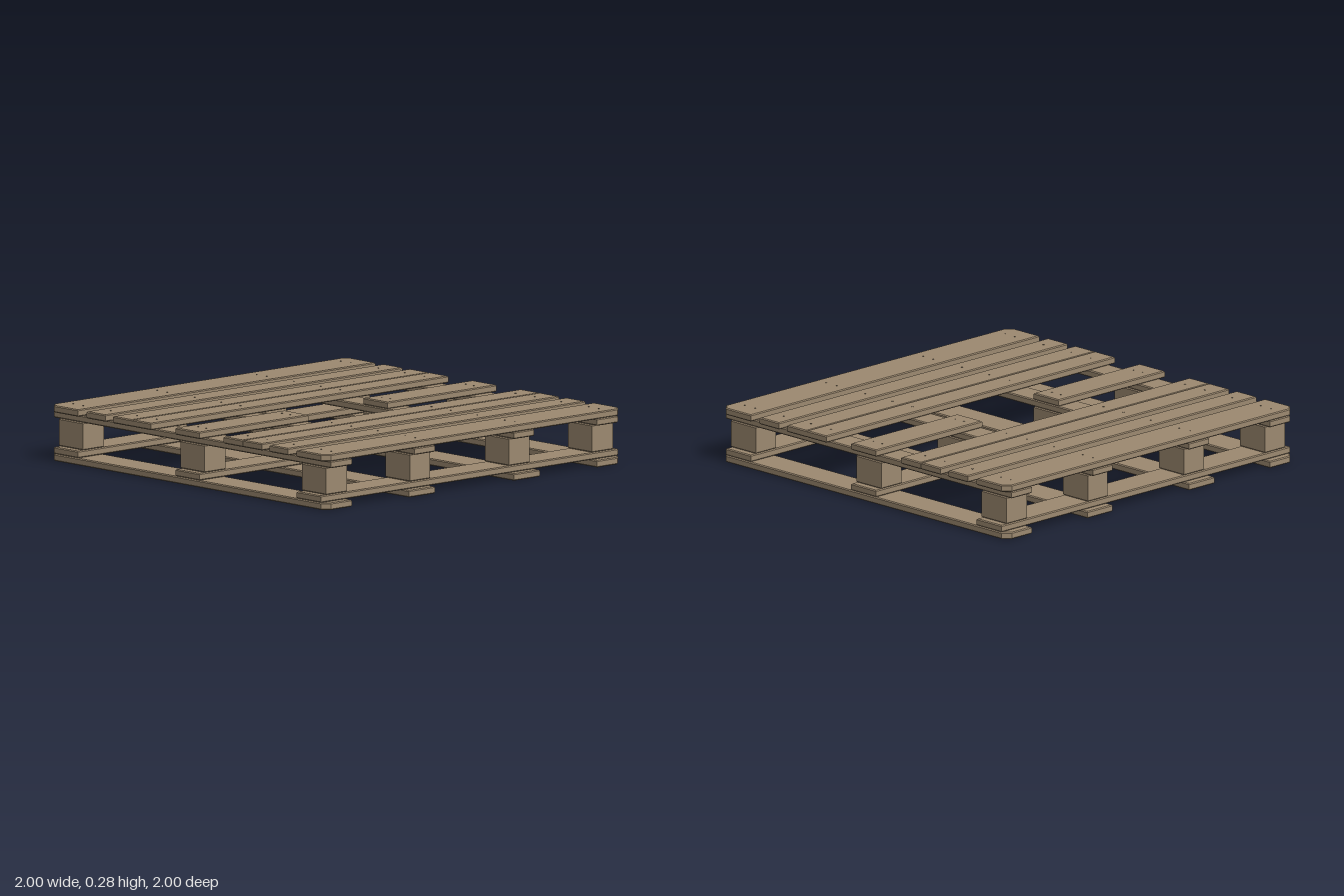
import * as THREE from 'three';

const BEVEL = 0.005;
const CUT = 0.036; // corner cut of the outer boards
const T = 0.035;   // board thickness

// Plank seen in plan, with eased edges; cut(sx, sz) tells which corners are clipped
function plankGeometry(w, h, d, cut = () => false) {
  const pts = [];
  for (const [sx, sz] of [[1, -1], [1, 1], [-1, 1], [-1, -1]]) {
    const x = sx * w / 2, y = sz * d / 2;
    if (!cut(sx, -sz)) { pts.push(new THREE.Vector2(x, y)); continue; }
    const a = new THREE.Vector2(x - sx * CUT, y);
    const b = new THREE.Vector2(x, y - sz * CUT);
    pts.push(...(sx * sz < 0 ? [a, b] : [b, a]));
  }
  const geo = new THREE.ExtrudeGeometry(new THREE.Shape(pts), {
    depth: h - 2 * BEVEL, bevelEnabled: true, bevelSegments: 1,
    bevelSize: BEVEL, bevelThickness: BEVEL, bevelOffset: -BEVEL,
  });
  geo.translate(0, 0, BEVEL);
  geo.rotateX(-Math.PI / 2);
  return geo;
}

export function createModel() {
  const wood = new THREE.MeshStandardMaterial({ color: 0x9c8970 });
  wood.name = 'wood';
  const steel = new THREE.MeshStandardMaterial({ color: 0x766a5a });
  steel.name = 'nail steel';

  const model = new THREE.Group();
  model.name = 'pallet';

  const plank = (name, x0, x1, y, h, z0, z1, cut) => {
    const mesh = new THREE.Mesh(plankGeometry(x1 - x0, h, z1 - z0, cut), wood);
    mesh.position.set((x0 + x1) / 2, y, (z0 + z1) / 2);
    mesh.name = name;
    model.add(mesh);
  };

  const BLOCK_H = 0.138;
  const yCross = T, yBlock = 2 * T, yStringer = yBlock + BLOCK_H;
  const yDeck = yStringer + T - 0.001, yTop = yDeck + T;

  // Bottom runners, front to back
  for (const s of [-1, 1]) {
    const span = (a, b) => (s > 0 ? [a, b] : [-b, -a]);
    const [o0, o1] = span(0.825, 1);
    plank('outerRunner', o0, o1, 0, T, -1, 1, (sx) => sx === s);
    const [i0, i1] = span(0.265, 0.44);
    plank('innerRunner', i0, i1, 0, T, -1, 1);
  }

  // Lower cross boards
  const rows = [[-0.965, -0.79], [-0.0875, 0.0875], [0.79, 0.965]];
  for (const [z0, z1] of rows) plank('lowerCrossBoard', -1, 1, yCross, T, z0, z1);

  // Blocks and the stringers on top of them
  for (const [x0, x1] of [[-0.965, -0.825], [-0.402, -0.265], [0.265, 0.402], [0.825, 0.965]]) {
    for (const [z0, z1] of rows) plank('block', x0, x1, yBlock, BLOCK_H, z0, z1);
    plank('stringer', x0, x1, yStringer, T, -1, 1);
  }

  // Top deck boards, mirrored front and back
  for (const s of [-1, 1]) {
    for (const [a, b] of [[0.262, 0.399], [0.401, 0.538], [0.592, 0.728]]) {
      plank('deckBoard', -1, 1, yDeck, T, s > 0 ? a : -b, s > 0 ? b : -a);
    }
    plank('endDeckBoard', -1, 1, yDeck, T, s > 0 ? 0.79 : -1, s > 0 ? 1 : -0.79,
      (sx, sz) => sz === s);
    // Short middle boards leave the centre of the deck open
    plank('middleDeckBoard', s > 0 ? 0.265 : -1, s > 0 ? 1 : -0.265, yDeck, T, -0.0875, 0.0875);
  }

  // Nail heads over the stringers
  const nails = new THREE.Group();
  nails.name = 'nails';
  const nailGeo = new THREE.CylinderGeometry(0.004, 0.004, 0.004, 8);
  for (const x of [-0.9, -0.335, 0.335, 0.9]) {
    for (const z of [0.03, 0.33, 0.47, 0.66, 0.86, 0.932]) {
      for (const s of [-1, 1]) {
        const nail = new THREE.Mesh(nailGeo, steel);
        nail.name = 'nail';
        nail.position.set(x, yTop, s * z);
        nails.add(nail);
      }
    }
  }
  model.add(nails);
  return model;
}
